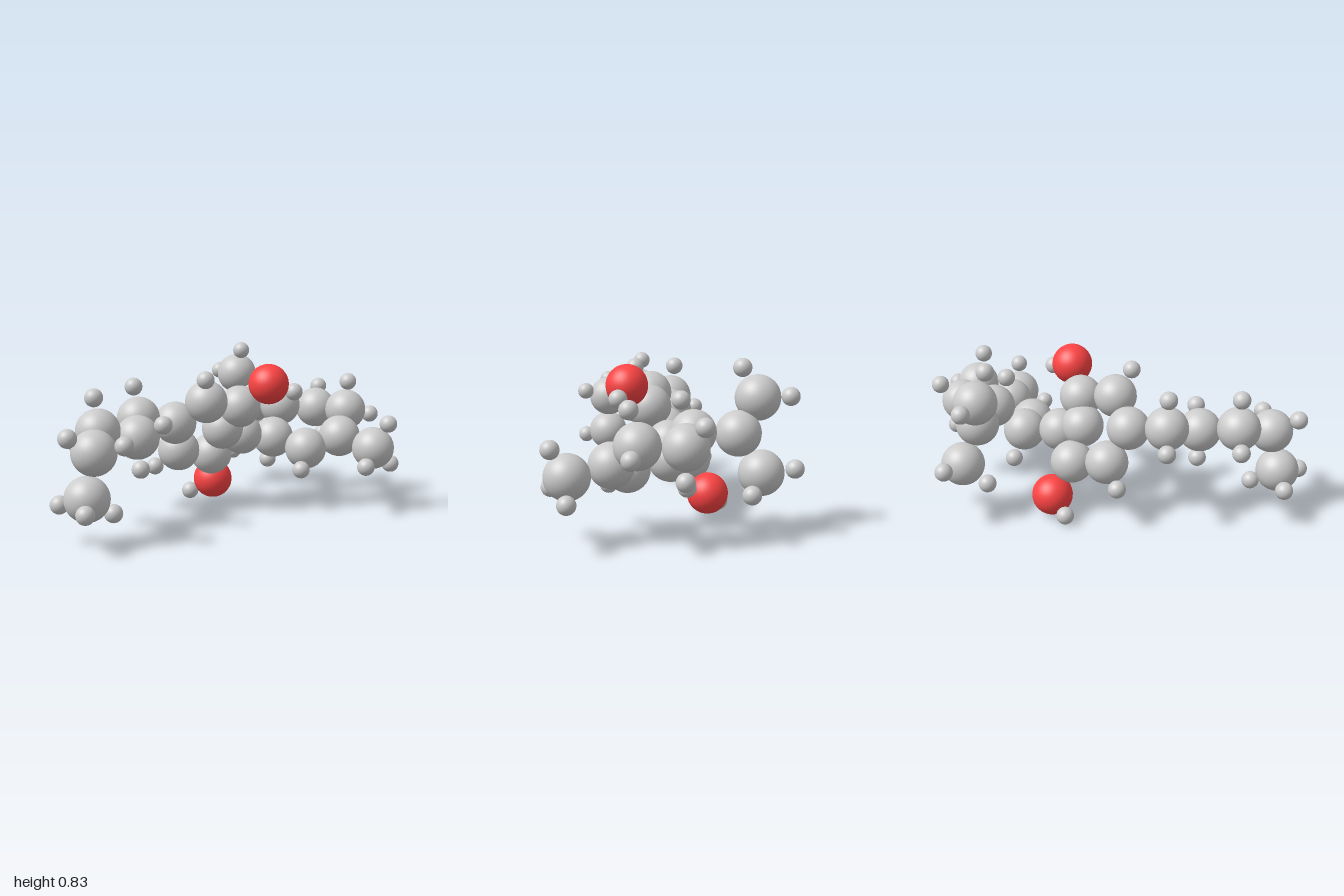
import * as THREE from 'three';

const grey = new THREE.MeshStandardMaterial({ color: 0xcccccc });
const red = new THREE.MeshStandardMaterial({ color: 0xff4444 });

// Three kinds of ball, shared by every part
const kinds = {
  carbon: { geometry: new THREE.SphereGeometry(0.109, 32, 24), material: grey },
  oxygen: { geometry: new THREE.SphereGeometry(0.104, 32, 24), material: red },
  hydrogen: { geometry: new THREE.SphereGeometry(0.045, 32, 24), material: grey },
};

// Builds a named group of balls from lists of centres per kind
function cluster(name, atoms) {
  const group = new THREE.Group();
  group.name = name;
  for (const [kind, centres] of Object.entries(atoms)) {
    centres.forEach((p, i) => {
      const ball = new THREE.Mesh(kinds[kind].geometry, kinds[kind].material);
      ball.name = `${kind}${i + 1}`;
      ball.position.set(...p);
      group.add(ball);
    });
  }
  return group;
}

export function createModel() {
  const model = new THREE.Group();
  model.name = 'molecule';

  // Flat six-sided ring in the middle: three corners, the rest opposite through the centre
  const centre = [-0.085, 0.434, -0.06];
  const half = [[0.035, 0.553, -0.167], [0, 0.593, 0.03], [-0.124, 0.48, 0.135]];
  const opposite = half.map((p) => p.map((v, i) => 2 * centre[i] - v));
  model.add(cluster('centralRing', {
    carbon: [...half, ...opposite, [-0.055, 0.43, -0.13]],
    hydrogen: [[0.07, 0.717, 0.095], [-0.302, 0.223, 0.13]],
  }));

  // Red side groups
  model.add(cluster('upperHydroxyl', {
    oxygen: [[0.16, 0.675, -0.255]],
    hydrogen: [[0.22, 0.63, -0.38]],
  }));
  model.add(cluster('lowerHydroxyl', {
    oxygen: [[-0.25, 0.113, -0.23]],
    hydrogen: [[-0.33, 0.046, -0.135]],
  }));

  // Zigzag chain reaching forward
  model.add(cluster('frontChain', {
    carbon: [
      [-0.162, 0.522, 0.343], [0, 0.463, 0.472], [-0.04, 0.513, 0.678],
      [0.122, 0.45, 0.815], [0.12, 0.238, 0.857],
    ],
    hydrogen: [
      [-0.184, 0.682, 0.355], [-0.3, 0.45, 0.38],
      [0.137, 0.535, 0.42], [0.01, 0.303, 0.462],
      [-0.055, 0.673, 0.688], [-0.177, 0.447, 0.72],
      [0.262, 0.493, 0.745], [0.108, 0.531, 0.95],
      [0.24, 0.2, 0.95], [-0.02, 0.195, 0.918], [0.136, 0.15, 0.72],
    ],
  }));

  // Puckered ring at the back
  model.add(cluster('backRing', {
    carbon: [
      [-0.02, 0.348, -0.465], [0.192, 0.312, -0.502], [0.287, 0.373, -0.66],
      [0.19, 0.488, -0.81], [-0.03, 0.475, -0.805], [-0.103, 0.5, -0.597],
    ],
    hydrogen: [
      [-0.095, 0.21, -0.498], [0.268, 0.222, -0.392],
      [0.226, 0.648, -0.787], [0.24, 0.455, -0.955],
      [-0.098, 0.58, -0.897], [-0.02, 0.325, -0.852], [-0.055, 0.645, -0.542],
    ],
  }));

  // Single branch on the left of the back ring
  model.add(cluster('leftBranch', {
    carbon: [[0.494, 0.333, -0.695]],
    hydrogen: [[0.571, 0.467, -0.722], [0.56, 0.259, -0.568], [0.508, 0.235, -0.82]],
  }));

  // Forked branch on the right of the back ring
  model.add(cluster('rightFork', {
    carbon: [[-0.317, 0.49, -0.598], [-0.418, 0.65, -0.558], [-0.418, 0.308, -0.642]],
    hydrogen: [
      [-0.576, 0.652, -0.566], [-0.35, 0.789, -0.529],
      [-0.571, 0.328, -0.677], [-0.346, 0.232, -0.765], [-0.405, 0.208, -0.52],
    ],
  }));

  return model;
}
